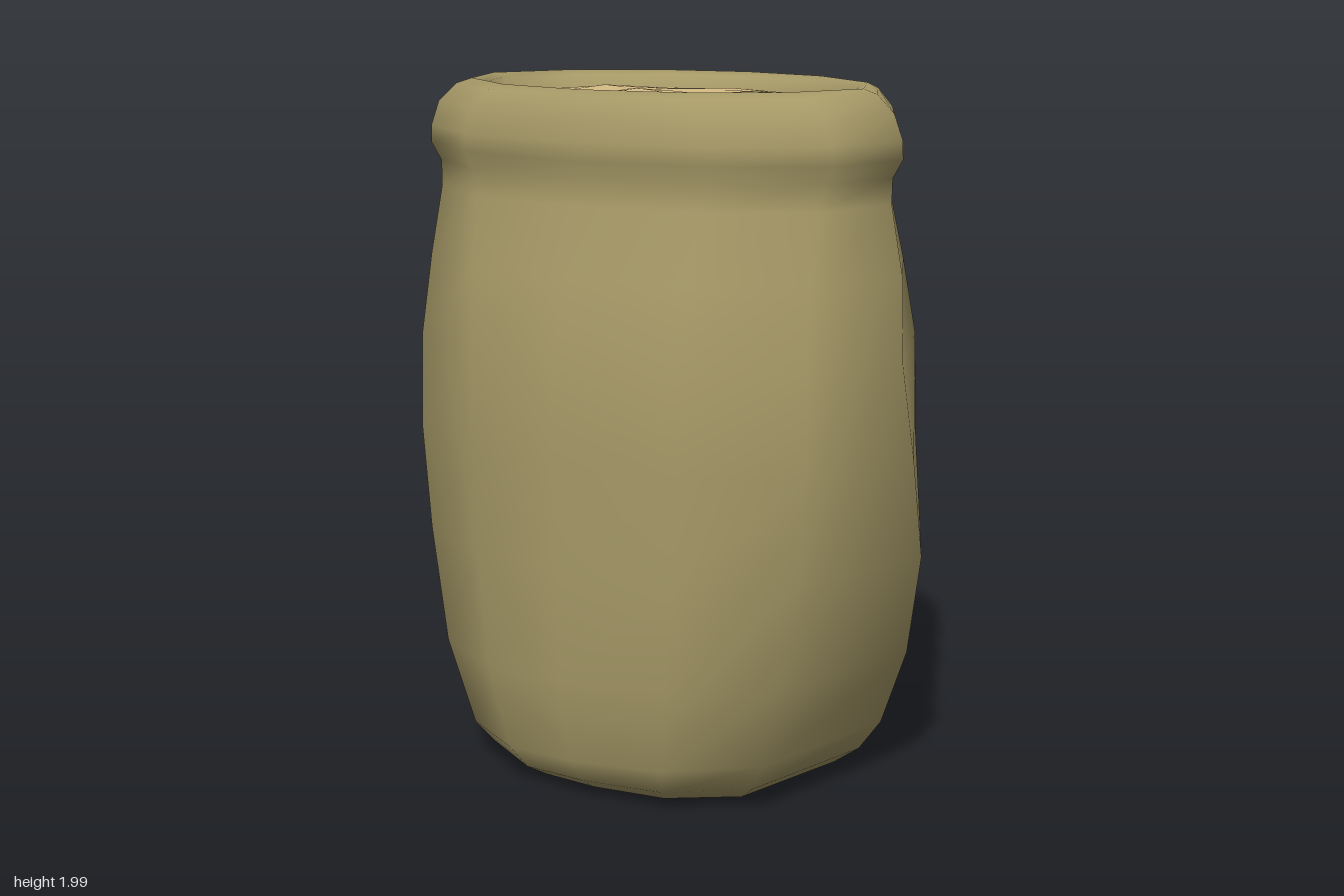
import * as THREE from 'three';

const SIDES = 12;
const withOpposite = (half) => [...half, ...half.map(([x, z]) => [-x, -z])];

// Unit outlines (x, z): an uneven oval for the belly, a lopsided one for the rolled rim, a pinched one for the mouth
const belly = withOpposite([[1, -0.04], [0.83, 0.57], [0.46, 0.91], [0, 1], [-0.37, 0.98], [-0.76, 0.71]]);
const mouth = withOpposite([[1, 0], [0.82, 0.52], [0.43, 0.88], [0, 1], [-0.43, 0.88], [-0.82, 0.52]]);
const rim = [
  [0.99, -0.1], [0.9, 0.42], [0.55, 0.8], [0.05, 0.97], [-0.51, 0.9], [-0.87, 0.56],
  [-1, 0.06], [-0.85, -0.46], [-0.51, -0.88], [-0.07, -1.05], [0.39, -0.98], [0.79, -0.6],
];

const blend = (from, to, t) =>
  from.map(([x, z], i) => [x + (to[i][0] - x) * t, z + (to[i][1] - z) * t]);

// Scale an outline to an oval ring, leaning by tilt along x
function ring(y, rx, rz, outline, tilt = 0) {
  return outline.map(([x, z]) => [x * rx, y + tilt * x * rx, z * rz]);
}

// A belly ring whose left and right side seams wander to the given z
function seamRing(y, rx, rz, leftZ, rightZ, tilt = 0) {
  const points = ring(y, rx, rz, belly, tilt);
  points[0][2] = leftZ;
  points[SIDES / 2][2] = rightZ;
  return points;
}

// Smooth skin through a list of rings
function loft(rings) {
  const index = [];
  for (let r = 0; r < rings.length - 1; r++) {
    for (let i = 0; i < SIDES; i++) {
      const j = (i + 1) % SIDES;
      const a = r * SIDES + i, b = r * SIDES + j;
      index.push(a, a + SIDES, b, a + SIDES, b + SIDES, b);
    }
  }
  const geometry = new THREE.BufferGeometry();
  geometry.setAttribute('position', new THREE.Float32BufferAttribute(rings.flat(2), 3));
  geometry.setIndex(index);
  geometry.computeVertexNormals();
  return geometry;
}

function addPart(group, name, geometry, color) {
  const material = new THREE.MeshStandardMaterial({ color, side: THREE.DoubleSide });
  const mesh = new THREE.Mesh(geometry, material);
  mesh.name = name;
  group.add(mesh);
}

export function createModel() {
  const group = new THREE.Group();
  group.name = 'sack';

  // Cloth: underside, bulging belly, neck groove, rolled rim and the inner lip
  const cloth = [
    ring(0.006, 0, 0, belly),
    seamRing(0.008, 0.36, 0.28, -0.1, 0.05, 0.01),
    seamRing(0.015, 0.48, 0.375, -0.16, 0.08, 0.02),
    seamRing(0.055, 0.545, 0.435, -0.19, 0.09, 0.03),
    seamRing(0.13, 0.605, 0.485, -0.21, 0.1, 0.05),
    seamRing(0.375, 0.695, 0.535, -0.19, 0.11, 0.03),
    seamRing(0.7, 0.76, 0.54, -0.14, 0.13),
    seamRing(1.0, 0.787, 0.55, -0.03, 0.03),
    seamRing(1.28, 0.778, 0.545, 0.03, -0.05),
    ring(1.5, 0.74, 0.515, blend(belly, rim, 0.4)),
    ring(1.69, 0.7, 0.48, blend(belly, rim, 0.8)),
    ring(1.76, 0.7, 0.475, rim),
    ring(1.81, 0.729, 0.497, rim),
    ring(1.86, 0.727, 0.498, rim),
    ring(1.93, 0.7, 0.485, rim),
    ring(1.98, 0.655, 0.455, blend(rim, mouth, 0.3)),
    ring(1.995, 0.62, 0.437, blend(rim, mouth, 0.7)),
    ring(1.982, 0.592, 0.42, mouth),
    ring(1.94, 0.569, 0.405, mouth),
  ];
  addPart(group, 'sackCloth', loft(cloth), 0xa89b68);

  // Filling: a gently lumpy surface just below the rim
  const lump = (x, z) =>
    0.02 * Math.sin(11 * x + 2) * Math.cos(13 * z - 1) * (1 - (x / 0.58) ** 2 - (z / 0.42) ** 2);
  const filling = [1, 0.85, 0.7, 0.55, 0.4, 0.22, 0].map((s) =>
    ring(1.945 + 0.012 * (1 - s * s), 0.57 * s, 0.406 * s, mouth)
      .map(([x, y, z]) => [x, y + lump(x, z), z]));
  addPart(group, 'filling', loft(filling), 0xd6bd85);

  return group;
}
